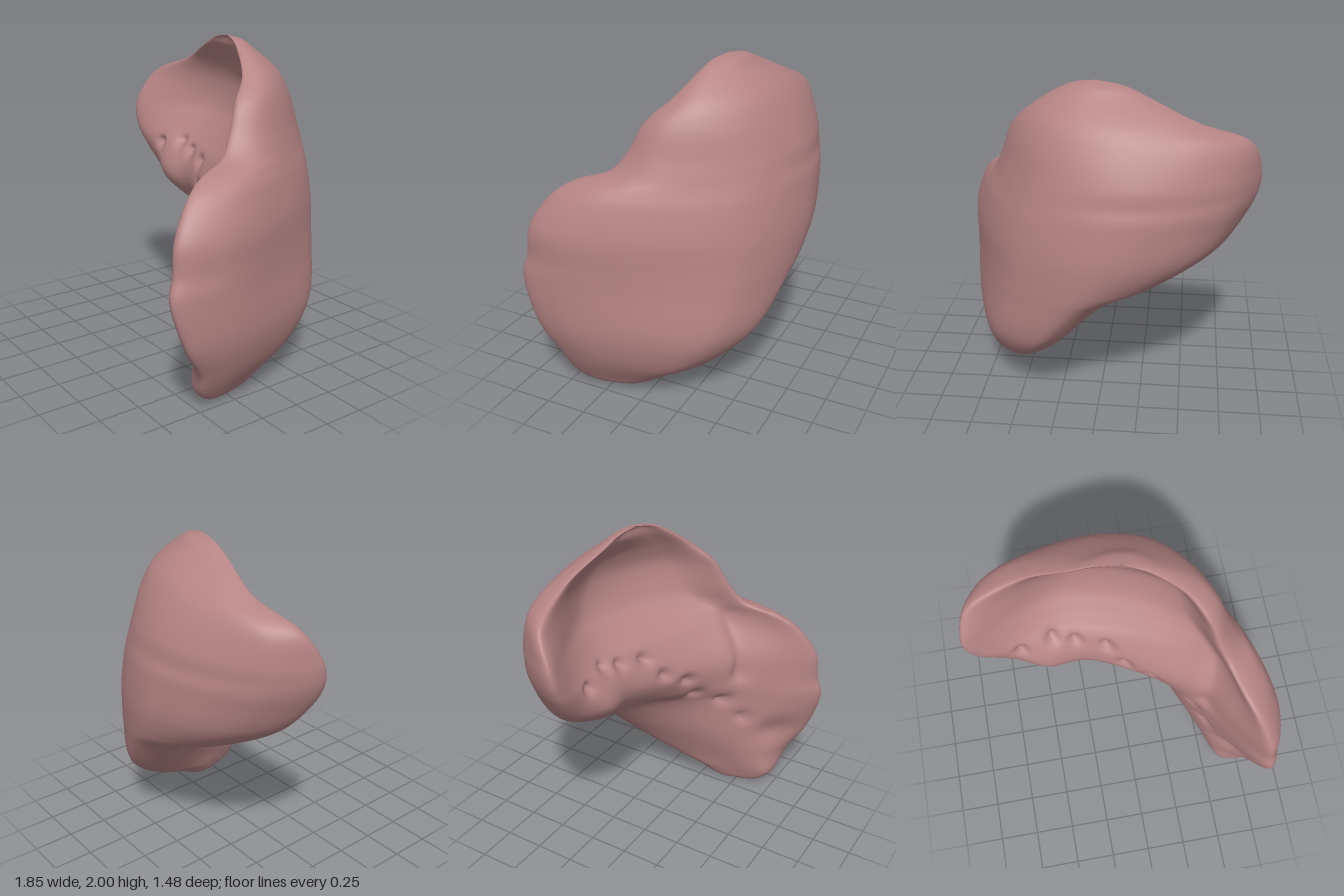
import * as THREE from 'three';

const ROWS = 160, COLS = 320;

// Cross-sections: height, then x,z of the left edge, the rearmost point,
// the front right tip and two points on the inner face
const sections = [
  [1.93, -0.25, -0.27, 0, -0.36, 0.24, -0.14, 0.14, -0.2, -0.08, -0.26],
  [1.8, -0.55, -0.33, -0.03, -0.52, 0.4, -0.05, 0.26, -0.2, -0.13, -0.36],
  [1.68, -0.85, -0.26, -0.05, -0.6, 0.49, 0.07, 0.33, -0.19, -0.2, -0.4],
  [1.5, -0.92, -0.16, -0.08, -0.68, 0.55, 0.16, 0.37, -0.12, -0.3, -0.37],
  [1.4, -0.92, -0.14, -0.06, -0.7, 0.6, 0.24, 0.44, -0.01, -0.3, -0.3],
  [1.33, -0.9, -0.14, -0.05, -0.72, 0.67, 0.44, 0.49, 0.09, -0.3, -0.24],
  [1.25, -0.86, -0.15, -0.03, -0.73, 0.725, 0.56, 0.5, 0.16, -0.3, -0.17],
  [1.05, -0.71, -0.22, 0.02, -0.74, 0.795, 0.69, 0.47, 0.28, -0.22, -0.1],
  [0.87, -0.42, -0.3, 0.09, -0.72, 0.81, 0.71, 0.47, 0.3, -0.02, -0.1],
  [0.75, -0.08, -0.44, 0.17, -0.69, 0.825, 0.74, 0.5, 0.33, 0.16, -0.12],
  [0.45, 0.22, -0.44, 0.38, -0.57, 0.84, 0.65, 0.53, 0.37, 0.32, -0.05],
  [0.25, 0.38, -0.22, 0.5, -0.36, 0.8, 0.53, 0.58, 0.42, 0.44, 0.08],
  [0.1, 0.49, 0.08, 0.57, -0.08, 0.74, 0.48, 0.62, 0.46, 0.53, 0.24],
];
const top = new THREE.Vector3(0.03, 2, -0.22);
const foot = new THREE.Vector3(0.62, 0, 0.28);

// Control ring of a section: two quarter ellipses for the domed back, then the inner face
function controlRing([y, lx, lz, bx, bz, rx, rz, ix, iz, jx, jz]) {
  const arc = (ex, ez, degrees) => {
    const a = THREE.MathUtils.degToRad(degrees);
    return [bx + (ex - bx) * Math.sin(a), ez + (bz - ez) * Math.cos(a)];
  };
  const sideX = bx + (rx - bx) * 1.15;
  return [
    [lx, lz], arc(lx, lz, 60), arc(lx, lz, 30), [bx, bz],
    arc(sideX, rz, 30), arc(sideX, rz, 60), arc(sideX, rz, 80), [rx, rz],
    [ix, iz], [jx, jz],
  ].map(([x, z]) => new THREE.Vector3(x, y, z));
}

// Reliefs on the inner face: a row of pits along the hilum, the crease beside
// the front lobe, a broad hollow in the lobe and a swelling under the left pits
const hilum = new THREE.CatmullRomCurve3([
  new THREE.Vector3(-0.6, 1.23), new THREE.Vector3(-0.2, 1.21),
  new THREE.Vector3(0.22, 0.87), new THREE.Vector3(0.5, 0.6),
]);
const crease = new THREE.LineCurve3(new THREE.Vector3(0.57, 1.33), new THREE.Vector3(0.48, 0.92));
const reliefs = [
  ...hilum.getSpacedPoints(8).map((p, i) => ({
    x: p.x + (i % 2) * 0.03, y: p.y + (i % 2) * 0.03, radius: 0.035, depth: 0.05,
  })),
  ...crease.getSpacedPoints(8).map(p => ({ x: p.x, y: p.y, radius: 0.05, depth: 0.03 })),
  { x: 0.66, y: 0.46, radius: 0.1, depth: 0.06 },
  { x: -0.46, y: 1.06, radius: 0.18, depth: -0.07 },
];

// Smooth closed skin over rails that join the control rings from top to foot
function bodyGeometry() {
  const rings = sections.map(controlRing);
  const rails = rings[0].map((first, k) => {
    const points = rings.map(ring => ring[k]);
    const last = points[points.length - 1];
    return new THREE.CatmullRomCurve3([
      top, first.clone().lerp(top, 0.42).setY(1.977), ...points,
      last.clone().lerp(foot, 0.4).setY(0.025), foot,
    ]);
  });

  const { smoothstep } = THREE.MathUtils;
  const positions = [], index = [];
  for (let i = 0; i <= ROWS; i++) {
    const ring = new THREE.CatmullRomCurve3(rails.map(r => r.getPoint(i / ROWS)), true);
    for (let j = 0; j < COLS; j++) {
      const t = j / COLS, p = ring.getPoint(t);
      // Reliefs fade out at both edges of the inner face
      const fade = smoothstep(t, 0.7, 0.74) * (1 - smoothstep(t, 0.94, 1));
      for (const { x, y, radius, depth } of reliefs) {
        p.z -= fade * depth * Math.exp(-((p.x - x) ** 2 + (p.y - y) ** 2) / radius ** 2);
      }
      positions.push(p.x, p.y, p.z);
      if (i < ROWS) {
        const a = i * COLS + j, b = i * COLS + (j + 1) % COLS;
        index.push(a, b, a + COLS, b, b + COLS, a + COLS);
      }
    }
  }
  const geometry = new THREE.BufferGeometry();
  geometry.setAttribute('position', new THREE.Float32BufferAttribute(positions, 3));
  geometry.setIndex(index);
  geometry.computeVertexNormals();
  return geometry;
}

export function createModel() {
  const group = new THREE.Group();
  group.name = 'spleen';
  const body = new THREE.Mesh(bodyGeometry(), new THREE.MeshStandardMaterial({ color: 0xb58484 }));
  body.name = 'organBody';
  group.add(body);
  return group;
}
